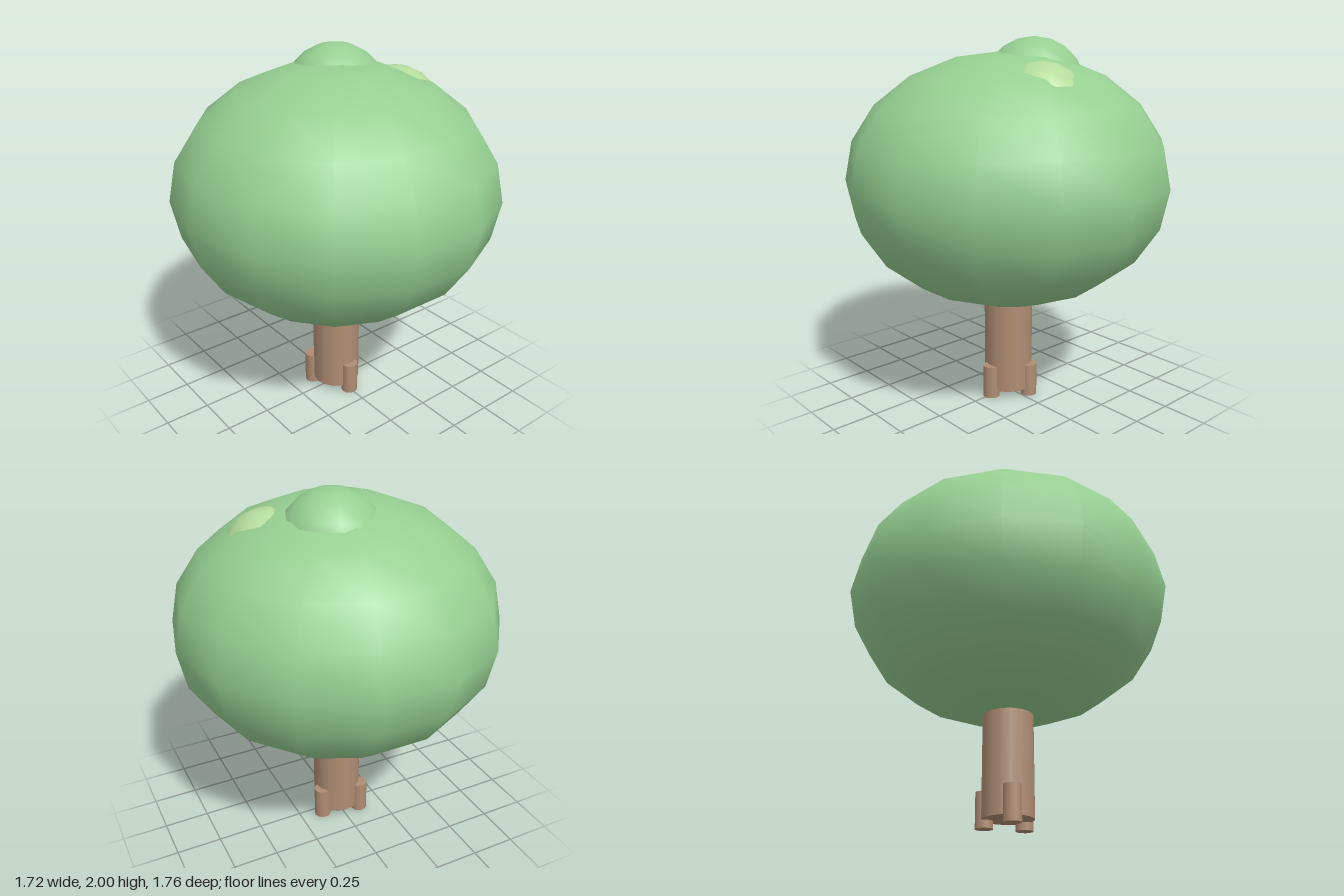
import * as THREE from 'three';

const paint = (color) => new THREE.MeshStandardMaterial({ color });
const leaf = paint(0x96cf92);
const lightLeaf = paint(0xb4dc9c);
const bark = paint(0xb08d74);

export function createModel() {
  const tree = new THREE.Group();
  tree.name = 'tree';

  const add = (name, geometry, material, x, y, z) => {
    const mesh = new THREE.Mesh(geometry, material);
    mesh.name = name;
    mesh.position.set(x, y, z);
    tree.add(mesh);
    return mesh;
  };

  // Foliage balls, with a corner of the 14-sided outline on the z axis
  const foliage = (name, radius, height, material, x, y, z) => {
    const ball = add(name, new THREE.SphereGeometry(radius, 14, 10), material, x, y, z);
    ball.scale.y = height / radius;
    ball.rotation.y = Math.PI / 2;
  };
  foliage('canopy', 0.88, 0.68, leaf, 0, 1.247, 0);
  foliage('topTuft', 0.28, 0.28, leaf, -0.11, 1.72, -0.08);
  foliage('lightTuft', 0.25, 0.25, lightLeaf, 0.08, 1.63, -0.332);

  // Trunk, running up into the canopy
  add('trunk', new THREE.CylinderGeometry(0.135, 0.135, 0.76, 16), bark, 0, 0.42, 0);

  // Three root stubs around the foot of the trunk
  const roots = [[0.128, 0], [-0.09, 0.105], [-0.05, -0.118]];
  for (const [x, z] of roots) {
    add('root', new THREE.CylinderGeometry(0.047, 0.047, 0.185, 12), bark, x, 0.0925, z);
  }

  return tree;
}
